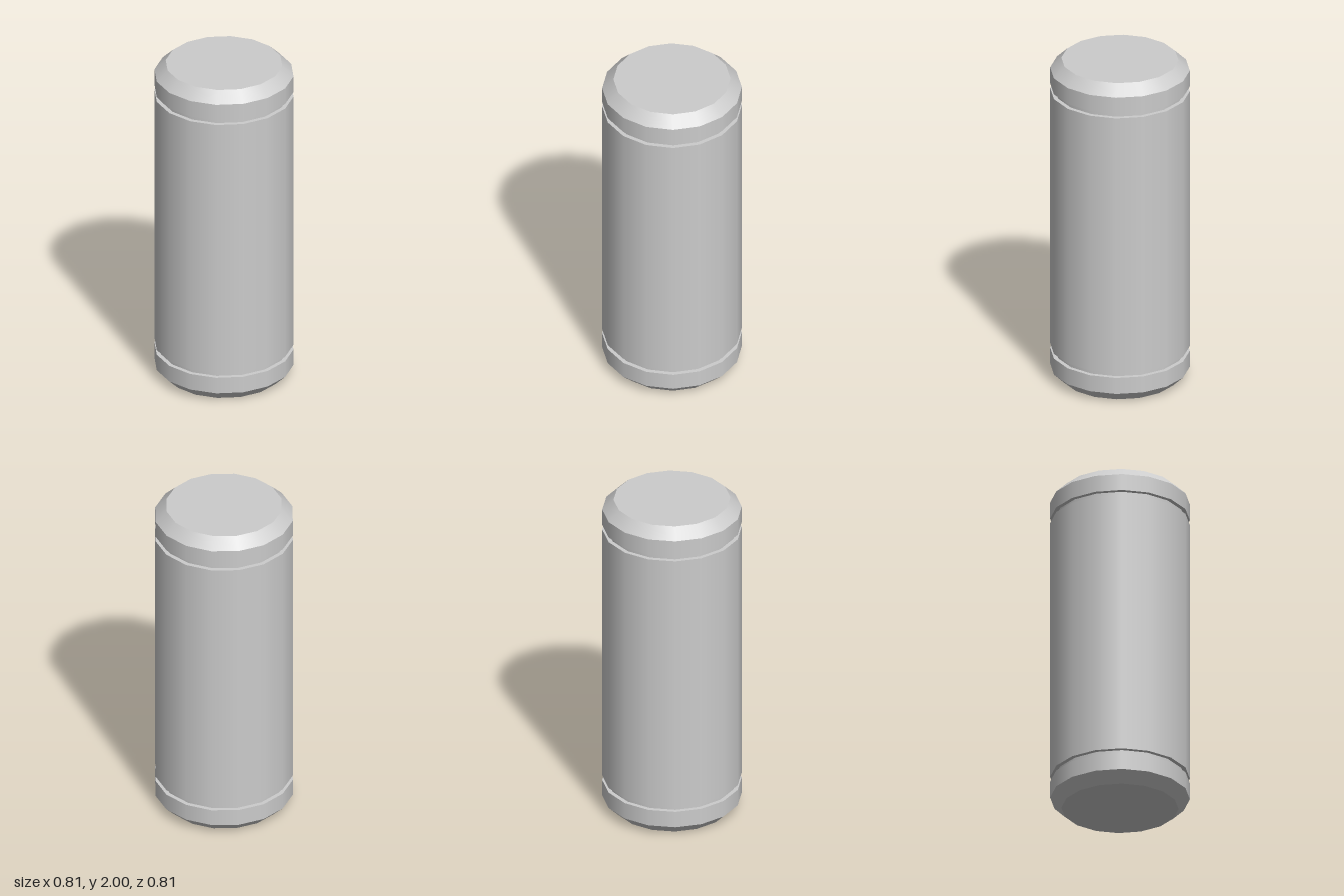
import * as THREE from 'three';
import { mergeGeometries } from 'three/addons/utils/BufferGeometryUtils.js';

const SIDES = 16;
const R = 0.403;        // outer radius
const GROOVE = 0.378;   // radius inside the grooves
const END = 0.338;      // radius of the flat ends
const CHAMFER = 0.063, GROOVE_LOW = 0.164, GROOVE_HIGH = 0.194, HEIGHT = 2;

// Revolves a profile one band at a time: smooth around, sharp between bands
function turned(name, profile, material) {
  const bands = [];
  for (let i = 0; i < profile.length - 1; i++) {
    const pair = [profile[i], profile[i + 1]].map(([r, y]) => new THREE.Vector2(r, y));
    bands.push(new THREE.LatheGeometry(pair, SIDES));
  }
  const mesh = new THREE.Mesh(mergeGeometries(bands), material);
  mesh.name = name;
  return mesh;
}

export function createModel() {
  const group = new THREE.Group();
  group.name = 'groovedPin';
  const material = new THREE.MeshStandardMaterial({ color: 0xcccccc });

  // Chamfered end with the groove behind it, from the flat face inward
  const end = [[0, 0], [END, 0], [R, CHAMFER], [R, GROOVE_LOW], [GROOVE, GROOVE_LOW], [GROOVE, GROOVE_HIGH], [R, GROOVE_HIGH]];
  // The same end mirrored to the top, still running upward
  const topEnd = end.map(([r, y]) => [r, HEIGHT - y]).reverse();

  group.add(turned('bottomEnd', end, material));
  group.add(turned('shaft', [[R, GROOVE_HIGH], [R, HEIGHT - GROOVE_HIGH]], material));
  group.add(turned('topEnd', topEnd, material));
  return group;
}
